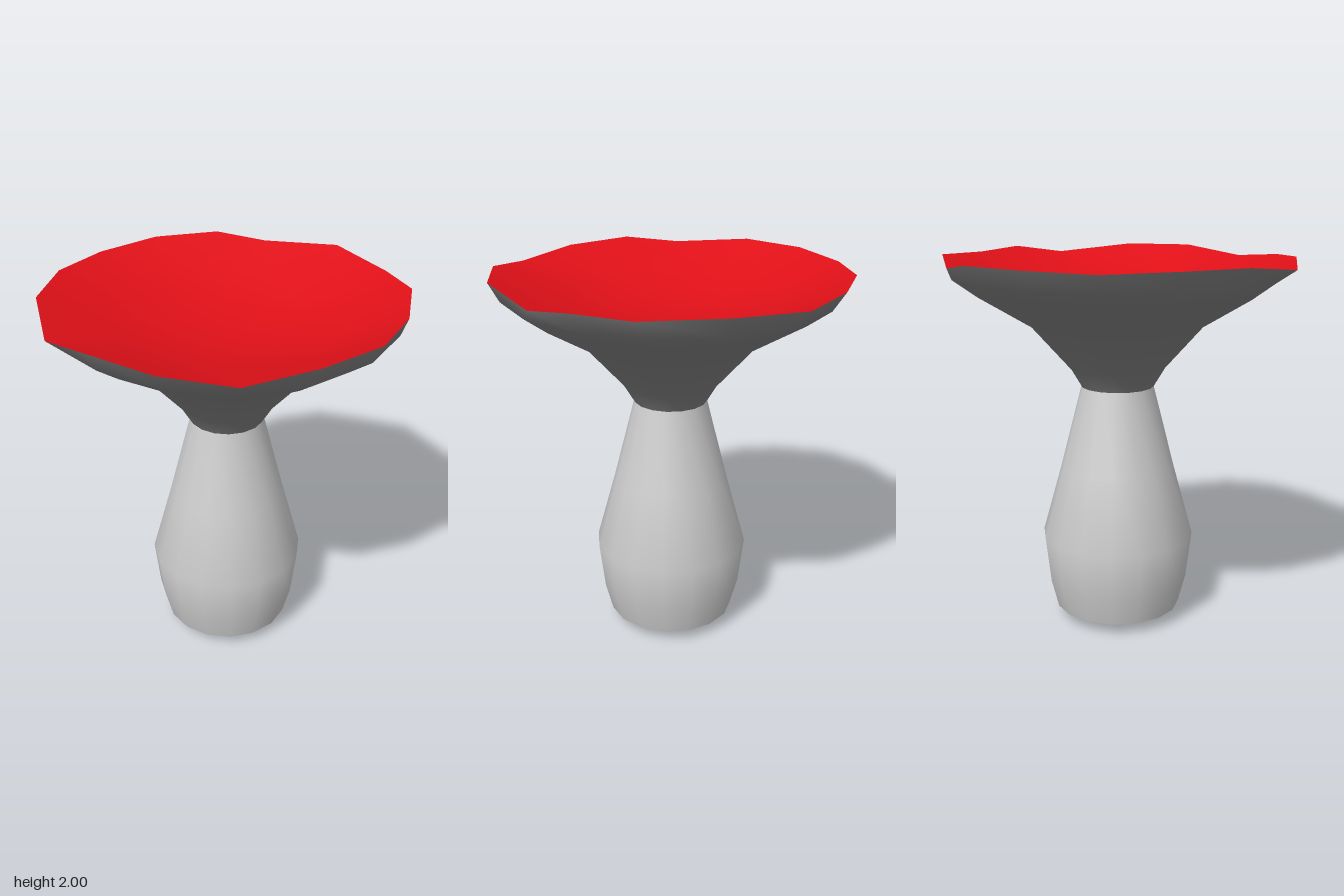
import * as THREE from 'three';
import { mergeVertices } from 'three/addons/utils/BufferGeometryUtils.js';

const SIDES = 16;

// Uneven rim corners [x, y, z], starting at the front and turning towards +x
const RIM = [
  [0, 1.955, 0.92], [0.35, 2, 0.85], [0.65, 2, 0.65], [0.85, 1.96, 0.27],
  [0.92, 2, 0], [0.85, 1.985, -0.29], [0.65, 2, -0.66], [0.27, 1.965, -0.86],
  [0, 2, -0.93], [-0.35, 2, -0.86], [-0.65, 1.99, -0.66], [-0.85, 2, -0.36],
  [-0.93, 2, 0], [-0.85, 1.96, 0.42], [-0.65, 2, 0.65], [-0.35, 1.985, 0.85],
];

// Smooth turned surface; rimRow is the profile point that follows the rim
function turned(name, profile, material, rimRow = -1) {
  const geo = new THREE.LatheGeometry(profile.map(([r, y]) => new THREE.Vector2(r, y)), SIDES);
  if (rimRow >= 0) {
    for (let i = 0; i <= SIDES; i++) {
      geo.attributes.position.setXYZ(i * profile.length + rimRow, ...RIM[i % SIDES]);
    }
  }
  geo.deleteAttribute('normal');
  geo.deleteAttribute('uv');
  const welded = mergeVertices(geo, 1e-4);
  welded.computeVertexNormals();
  const mesh = new THREE.Mesh(welded, material);
  mesh.name = name;
  return mesh;
}

export function createModel() {
  const model = new THREE.Group();
  model.name = 'mushroom';
  const grey = new THREE.MeshStandardMaterial({ color: 0xcccccc });
  const darkGrey = new THREE.MeshStandardMaterial({ color: 0x808080 });
  const red = new THREE.MeshStandardMaterial({ color: 0xe01018 });

  // Bulging stem with a shallow pointed foot
  const stem = [[0.345, 0.065], [0.385, 0.22], [0.415, 0.48], [0.31, 0.86], [0.195, 1.31]];
  model.add(turned('stem', stem, grey));
  model.add(turned('stemFoot', [[0, 0], [0.345, 0.065]], grey));

  // Flared underside of the cap, from the neck out to the rim
  const under = [[0.195, 1.31], [0.255, 1.41], [0.465, 1.645], [0.74, 1.81], [0.865, 1.9], [0.92, 1.98]];
  model.add(turned('capUnderside', under, darkGrey, under.length - 1));

  // Shallow dished top of the cap
  const dish = [[0.92, 1.98], [0.6, 1.87], [0.3, 1.81], [0, 1.79]];
  model.add(turned('capTop', dish, red, 0));

  return model;
}
